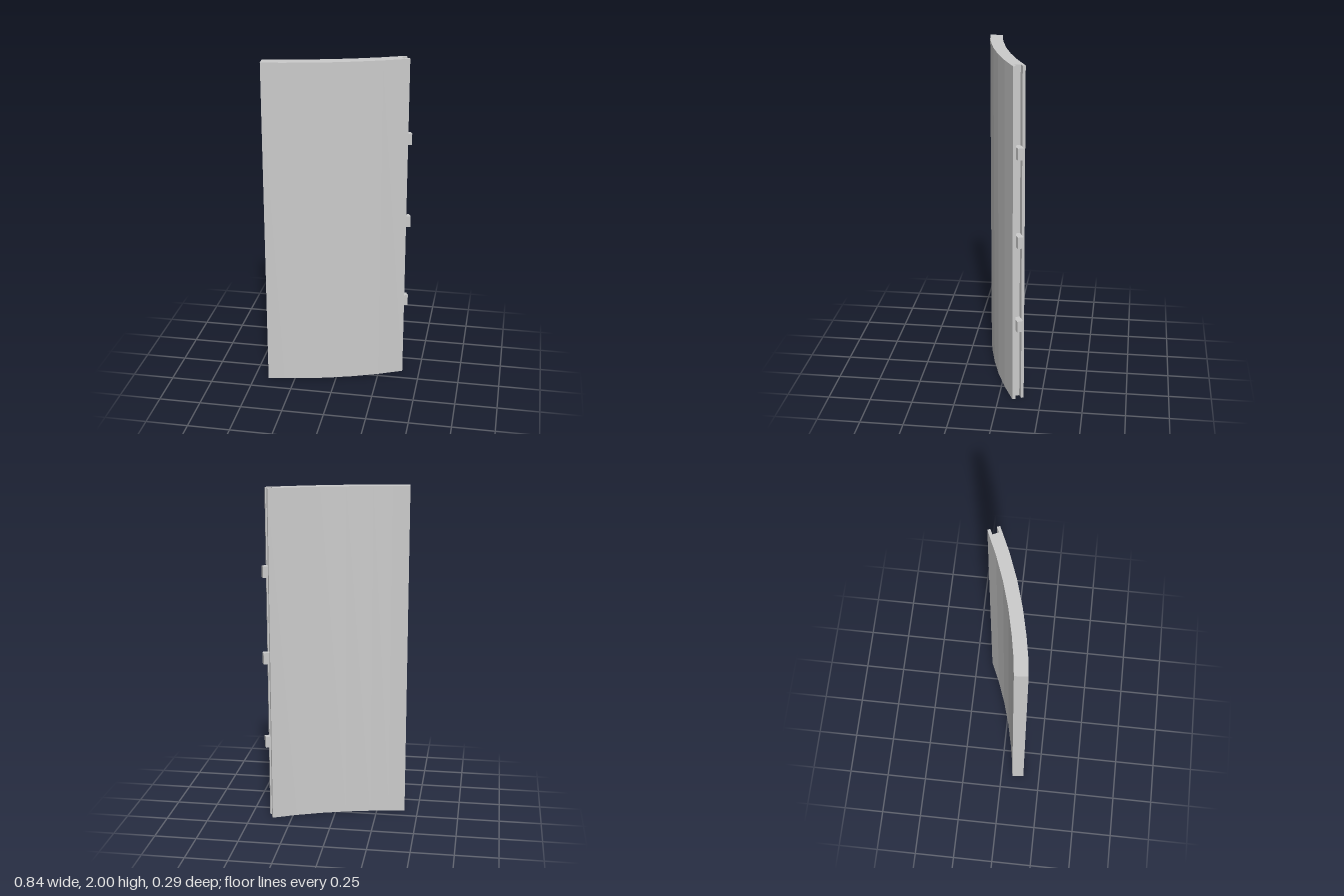
import * as THREE from 'three';

const material = new THREE.MeshStandardMaterial({ color: 0xcccccc, flatShading: true });

// Extrude a plan outline of [x, z] points upward from y0
function prism(name, outline, y0, height) {
  const shape = new THREE.Shape(outline.map(([x, z]) => new THREE.Vector2(x, -z)));
  const geometry = new THREE.ExtrudeGeometry(shape, { depth: height, bevelEnabled: false });
  geometry.rotateX(-Math.PI / 2).translate(0, y0, 0);
  const mesh = new THREE.Mesh(geometry, material);
  mesh.name = name;
  return mesh;
}

export function createModel() {
  const group = new THREE.Group();
  group.name = 'curvedPanel';

  // Curved faces of the board, left to right in plan
  const front = [[-0.413, 0.146], [-0.312, 0.134], [-0.2, 0.114], [-0.05, 0.08], [0.1, 0.036], [0.25, -0.019], [0.395, -0.083]];
  const back = [[-0.42, 0.073], [-0.322, 0.061], [-0.21, 0.041], [-0.062, 0.008], [0.085, -0.035], [0.225, -0.086], [0.365, -0.147]];

  // Full-height groove in the end edge
  const groove = [[0.388, -0.1], [0.357, -0.085], [0.342, -0.118], [0.373, -0.132]];
  group.add(prism('groovedBoard', [...front, ...groove, ...back.reverse()], 0, 2));

  // Pegs seated in the groove; the middle one sticks out slightly further
  const peg = [[0.357, -0.085], [0.418, -0.115], [0.403, -0.147], [0.342, -0.118]];
  [0.485, 1.005, 1.52].forEach((y, i) => {
    const mesh = prism('peg', peg, y - 0.034, 0.068);
    if (i !== 1) mesh.position.set(-0.004, 0, 0.002);
    group.add(mesh);
  });
  return group;
}
